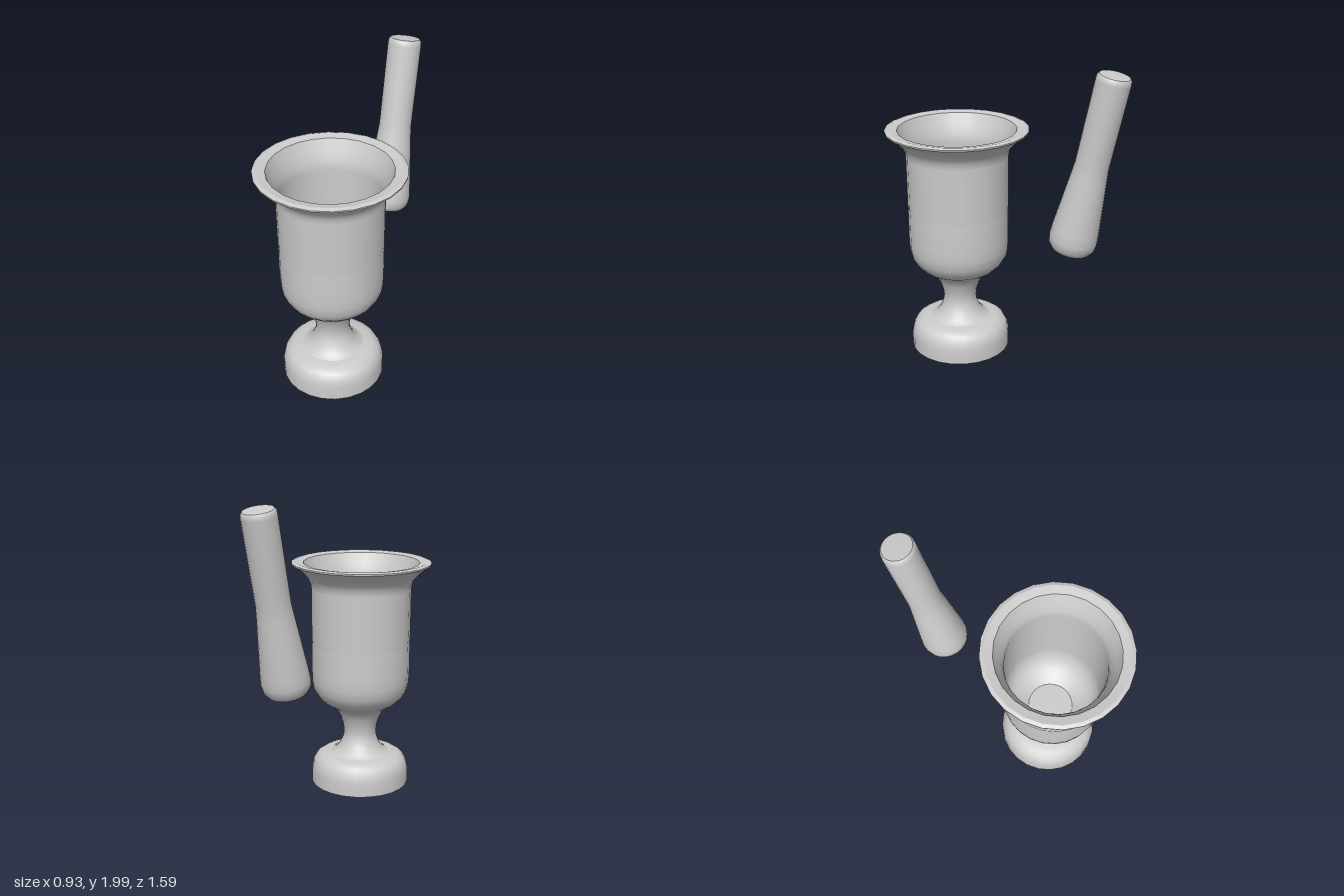
import * as THREE from 'three';

const SIDES = 24;
const material = new THREE.MeshStandardMaterial({ color: 0xcccccc, side: THREE.DoubleSide });

// Turned part; each [radius, height] run is smooth, with a sharp edge between runs.
function turned(name, ...runs) {
  const group = new THREE.Group();
  group.name = name;
  runs.forEach((run, i) => {
    const points = run.map(([r, y]) => new THREE.Vector2(r, y));
    const mesh = new THREE.Mesh(new THREE.LatheGeometry(points, SIDES), material);
    mesh.name = `${name}Surface${i + 1}`;
    group.add(mesh);
  });
  return group;
}

export function createModel() {
  const model = new THREE.Group();
  model.name = 'mortarAndPestle';

  const mortar = new THREE.Group();
  mortar.name = 'mortar';
  mortar.position.z = 0.335;
  model.add(mortar);

  // Hollow foot, open underneath
  mortar.add(turned('foot',
    [[0.332, 0], [0.332, 0.09], [0.322, 0.14], [0.3, 0.18], [0.26, 0.204], [0.2, 0.211]]));

  // Waisted stem flaring into the cup, with a faint line round its middle
  mortar.add(turned('stemAndCup',
    [[0.2, 0.211], [0.165, 0.23], [0.135, 0.27], [0.115, 0.32], [0.11, 0.36], [0.116, 0.41],
      [0.135, 0.47], [0.163, 0.52], [0.2, 0.55], [0.25, 0.58], [0.29, 0.62], [0.318, 0.67],
      [0.328, 0.73], [0.331, 0.8], [0.331, 0.98], [0.328, 1.0], [0.332, 1.02],
      [0.333, 1.36], [0.338, 1.4], [0.358, 1.435], [0.395, 1.475], [0.435, 1.508], [0.463, 1.525]]));

  // Rim: thin edge, outer bevel, then a band dipping inwards
  mortar.add(turned('rim',
    [[0.463, 1.525], [0.464, 1.535]],
    [[0.464, 1.535], [0.44, 1.543]],
    [[0.44, 1.543], [0.385, 1.533]]));

  // Bowl lining and flat floor
  mortar.add(turned('bowlInside',
    [[0.385, 1.533], [0.355, 1.46], [0.33, 1.4], [0.32, 1.34], [0.32, 0.78], [0.312, 0.7],
      [0.285, 0.635], [0.24, 0.59], [0.19, 0.56], [0.15, 0.53]],
    [[0.15, 0.53], [0, 0.53]]));

  // Pestle leaning back behind the mortar
  const pestle = turned('pestle',
    [[0, 0], [0.09, 0.002], [0.125, 0.016], [0.148, 0.048], [0.155, 0.095], [0.15, 0.16],
      [0.13, 0.36], [0.113, 0.53], [0.107, 0.6], [0.107, 0.7], [0.108, 1.14], [0.105, 1.165], [0.094, 1.178]],
    [[0.094, 1.178], [0, 1.18]]);
  pestle.position.set(0, 0.822, -0.45);
  pestle.rotation.x = -0.21;
  model.add(pestle);

  return model;
}
